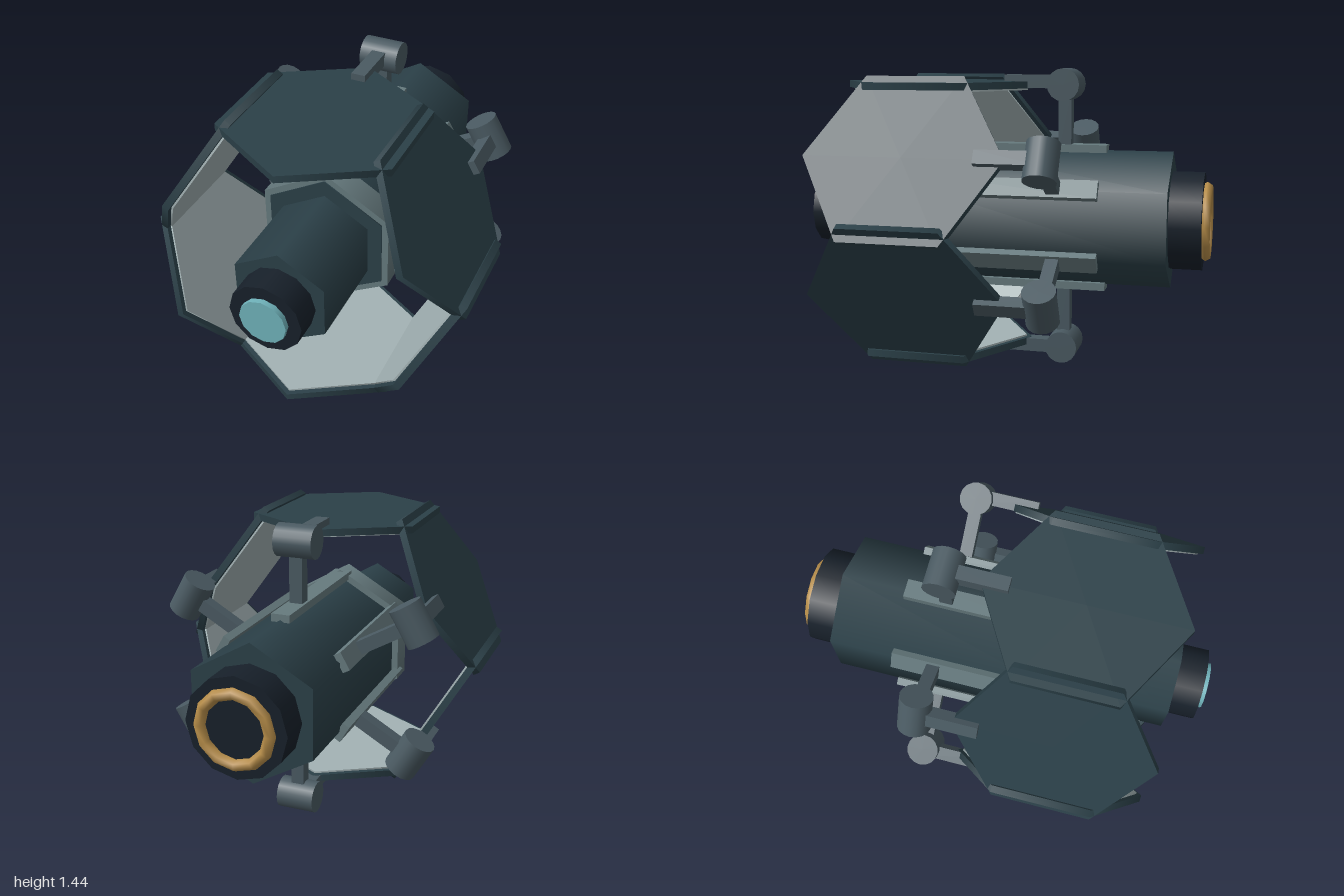
import * as THREE from 'three';

const mat = (color) => new THREE.MeshStandardMaterial({ color });

export function createModel() {
  const model = new THREE.Group();
  model.name = 'spacecraft';
  const hull = mat(0x2b4048), black = mat(0x17202a), steel = mat(0x4a5a62);
  const trim = mat(0x667a7e), lining = mat(0xa3b2b4), glass = mat(0x6fb2ba), gold = mat(0xb98f4a);

  const core = new THREE.Group();
  core.name = 'core';
  core.position.y = 0.725;
  model.add(core);

  const add = (parent, name, geometry, material, x = 0, y = 0, z = 0) => {
    const mesh = new THREE.Mesh(geometry, material);
    mesh.name = name;
    mesh.position.set(x, y, z);
    parent.add(mesh);
    return mesh;
  };

  // Prism along z between two depths
  const prism = (name, r, z0, z1, sides, material) =>
    add(core, name, new THREE.CylinderGeometry(r, r, z1 - z0, sides).rotateX(Math.PI / 2),
      material, 0, 0, (z0 + z1) / 2);

  // Central fuselage, back to front
  prism('rearEngine', 0.237, -0.96, -0.8, 12, black);
  prism('mainHull', 0.33, -0.81, 0.381, 6, hull);
  prism('collar', 0.366, 0.25, 0.376, 6, trim);
  prism('noseHull', 0.25, 0.37, 0.84, 6, hull);
  prism('noseCap', 0.175, 0.83, 0.975, 12, black);
  prism('noseWindow', 0.113, 0.96, 1.0, 12, glass);
  add(core, 'engineRing', new THREE.TorusGeometry(0.163, 0.028, 6, 12), gold, 0, 0, -0.972);

  // Six sectors: hull rail, spoke, joint, holding bar and ring panel
  for (let i = 0; i < 6; i++) {
    const sector = new THREE.Group();
    sector.name = `sector${i + 1}`;
    sector.rotation.z = (i * Math.PI) / 3;
    core.add(sector);

    add(sector, 'rail', new THREE.BoxGeometry(0.09, 0.037, 0.79), trim, 0, 0.338, -0.1);
    add(sector, 'spoke', new THREE.BoxGeometry(0.063, 0.3, 0.063), steel, 0, 0.47, -0.29);
    add(sector, 'joint', new THREE.CylinderGeometry(0.078, 0.078, 0.186, 16).rotateZ(Math.PI / 2),
      steel, 0, 0.643, -0.29);
    add(sector, 'holdingBar', new THREE.BoxGeometry(0.068, 0.065, 0.3), steel, 0, 0.657, -0.14);
    add(sector, 'panel', new THREE.CylinderGeometry(0.478, 0.478, 0.034, 6), hull, 0, 0.64, 0.354);
    add(sector, 'panelLining', new THREE.CylinderGeometry(0.452, 0.452, 0.012, 6), lining, 0, 0.62, 0.354);
  }
  return model;
}
